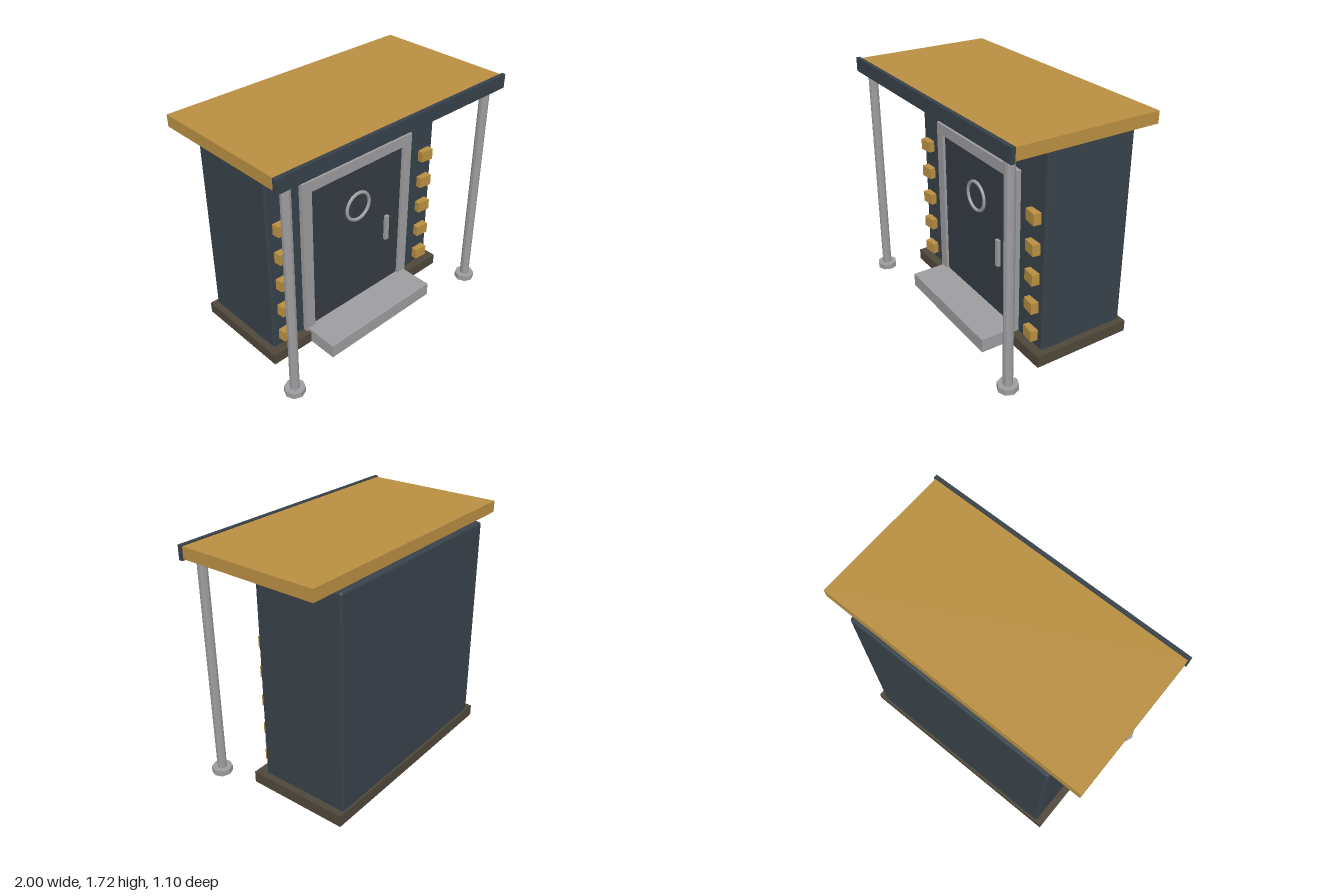
import * as THREE from 'three';
import { RoundedBoxGeometry } from 'three/addons/geometries/RoundedBoxGeometry.js';

export function createModel() {
  const group = new THREE.Group();
  const mat = (name, color, flatShading = false) => {
    const m = new THREE.MeshStandardMaterial({ color, flatShading });
    m.name = name;
    return m;
  };
  const slate = mat('slate wall', 0x38424a);
  const doorPaint = mat('door slate', 0x343c43);
  const ochre = mat('ochre', 0xb98f42);
  const steel = mat('steel', 0x9d9da0, true);
  const stone = mat('dark plinth', 0x4f473a);
  const cream = mat('lamp cream', 0xd8c49a);

  const add = (name, geometry, material, x, y, z) => {
    const mesh = new THREE.Mesh(geometry, material);
    mesh.name = name;
    mesh.position.set(x, y, z);
    group.add(mesh);
    return mesh;
  };
  // Box given by its limits on each axis
  const box = (name, material, x0, x1, y0, y1, z0, z1) =>
    add(name, new THREE.BoxGeometry(x1 - x0, y1 - y0, z1 - z0), material,
      (x0 + x1) / 2, (y0 + y1) / 2, (z0 + z1) / 2);

  // Cabin with softened edges on a plinth
  add('cabin', new RoundedBoxGeometry(1.56, 1.618, 0.675, 2, 0.02), slate, 0, 0.809, -0.1975);
  box('plinth', stone, -0.83, 0.83, 0.001, 0.085, -0.55, 0.205);
  box('step', steel, -0.495, 0.495, 0.002, 0.105, 0.15, 0.43);

  // Canopy
  box('canopy', ochre, -0.99, 0.99, 1.63, 1.712, -0.512, 0.525);
  box('fascia', slate, -1, 1, 1.62, 1.72, 0.522, 0.55);

  // Door frame, open at the bottom
  const frame = new THREE.Shape([
    [-0.51, 0.08], [-0.43, 0.08], [-0.43, 1.225], [0.43, 1.225],
    [0.43, 0.08], [0.51, 0.08], [0.51, 1.305], [-0.51, 1.305],
  ].map(([x, y]) => new THREE.Vector2(x, y)));
  add('doorFrame', new THREE.ExtrudeGeometry(frame, { depth: 0.04, bevelEnabled: false }),
    steel, 0, 0, 0.135);

  // Double door, round window ring and handle
  for (const s of [-1, 1]) {
    add('doorLeaf', new THREE.BoxGeometry(0.427, 1.13, 0.022), doorPaint, s * 0.2155, 0.65, 0.145);
  }
  add('windowRing', new THREE.TorusGeometry(0.106, 0.013, 8, 32), steel, 0, 0.915, 0.16);
  box('handle', steel, 0.27, 0.302, 0.5, 0.705, 0.15, 0.18);

  for (const s of [-1, 1]) {
    // Canopy posts with feet
    add('post', new THREE.CylinderGeometry(0.034, 0.034, 1.61, 10), steel, s * 0.885, 0.815, 0.48);
    add('postFoot', new THREE.CylinderGeometry(0.073, 0.073, 0.042, 8), steel, s * 0.885, 0.021, 0.48);

    // Column of slanted blocks beside the door
    for (let i = 0; i < 5; i++) {
      const block = add('wallBlock', new THREE.BoxGeometry(0.102, 0.082, 0.075), ochre,
        s * 0.68, 0.182 + i * 0.22, 0.152);
      block.rotation.y = -s * 0.12;
    }
    // Lamp strip under the canopy
    box('lamp', cream, s * 0.6 - 0.08, s * 0.6 + 0.08, 1.525, 1.555, 0.13, 0.21);
  }
  return group;
}
